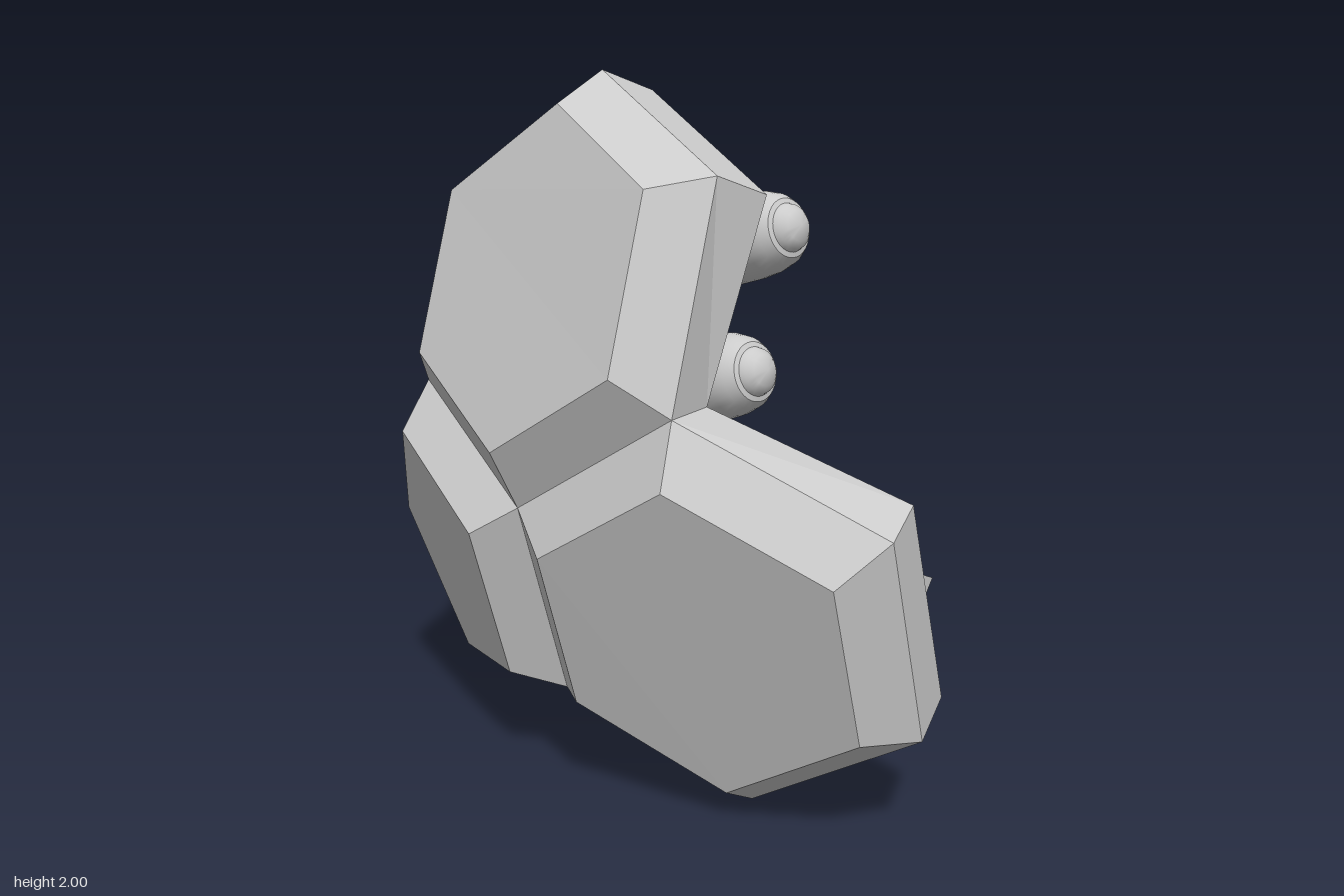
import * as THREE from 'three';
import { toCreasedNormals } from 'three/addons/utils/BufferGeometryUtils.js';

const V = (x, y, z) => new THREE.Vector3(x, y, z);
const grey = (opts = {}) => new THREE.MeshStandardMaterial({ color: 0xcccccc, ...opts });

// Corners of the three joined plates: [seam corner, matching corner on the hollow side]
const corners = {
  A: [V(-0.17, 0.005, 0.42), V(0, 0.06, 0.39)],
  B: [V(-0.17, 0.325, 0.94), V(0, 0.38, 0.905)],
  C: [V(-0.36, 0.905, 0.94), V(-0.2, 0.955, 0.905)],
  D: [V(-0.545, 1.165, 0.42), V(-0.37, 1.165, 0.4)],
  E: [V(-0.545, 0.85, -0.1), V(-0.37, 0.865, -0.07)],
  F: [V(-0.355, 0.27, -0.1), V(-0.17, 0.315, -0.07)],
  G: [V(-0.055, 0.165, -0.615), V(0.1, 0.215, -0.54)],
  J: [V(-0.36, 1.11, -0.62), V(-0.19, 1.1, -0.545)],
  K: [V(-0.055, 0.685, -0.935), V(0.1, 0.735, -0.855)],
  L: [V(-0.17, 1.685, -0.62), V(0, 1.66, -0.585)],
  N: [V(-0.17, 2.0, -0.1), V(0, 1.945, -0.06)],
  Q: [V(-0.36, 1.745, 0.42), V(-0.185, 1.69, 0.45)],
};
const plates = { frontPlate: 'ABCDEF', topPlate: 'LJEDQN', backPlate: 'FEJKG' };

function plateGeometry(loop, seams) {
  const pos = [];
  const face = (...p) => {
    for (let i = 1; i < p.length - 1; i++) for (const v of [p[0], p[i], p[i + 1]]) pos.push(v.x, v.y, v.z);
  };
  const names = [...loop], n = names.length;
  const mid = names.map((k) => corners[k][0]);
  const inner = names.map((k) => corners[k][1]);
  const centre = mid.reduce((s, v) => s.add(v), V(0, 0, 0)).divideScalar(n);
  const normal = V(0, 0, 0);
  mid.forEach((v, i) => normal.add(v.clone().sub(centre).cross(mid[(i + 1) % n].clone().sub(centre))));
  normal.normalize();
  // raised, shrunken outer face
  const outer = mid.map((v) => centre.clone().lerp(v, 0.78).addScaledVector(normal, 0.127));
  face(...outer);
  face(...[...inner].reverse());
  for (let i = 0; i < n; i++) {
    const j = (i + 1) % n;
    face(mid[i], mid[j], outer[j], outer[i]);
    // rim only where no other plate joins
    if (!seams.has(names[j] + names[i])) face(mid[j], mid[i], inner[i], inner[j]);
  }
  const g = new THREE.BufferGeometry();
  g.setAttribute('position', new THREE.Float32BufferAttribute(pos, 3));
  g.computeVertexNormals();
  return g;
}

function createShell() {
  const shell = new THREE.Group();
  shell.name = 'shell';
  const seams = new Set();
  for (const loop of Object.values(plates)) {
    [...loop].forEach((k, i) => seams.add(k + loop[(i + 1) % loop.length]));
  }
  for (const [name, loop] of Object.entries(plates)) {
    const m = new THREE.Mesh(plateGeometry(loop, seams), grey({ flatShading: true }));
    m.name = name;
    shell.add(m);
  }
  return shell;
}

// Bent arm standing out from the front plate
function createBracket() {
  const pts = [[-0.2, 0.375], [0.175, 0.53], [0.53, 0.38], [0.615, 0.47], [0.175, 0.655], [-0.2, 0.5]];
  const shape = new THREE.Shape(pts.map(([x, y]) => new THREE.Vector2(x, y)));
  const g = new THREE.ExtrudeGeometry(shape, { depth: 0.315, bevelEnabled: false });
  g.translate(0, 0, 0.24);
  const m = new THREE.Mesh(g, grey({ flatShading: true }));
  m.name = 'bracket';
  return m;
}

// Rocket with its nose at the origin, pointing up y; local x is the first fin
function createRocket(name) {
  const rocket = new THREE.Group();
  rocket.name = name;
  const add = (part, g, mat) => {
    const m = new THREE.Mesh(g, mat);
    m.name = part;
    rocket.add(m);
    return m;
  };
  // [radius, distance behind the nose], from the hollow tail forwards
  const profile = [
    [0, 0.86], [0.05, 0.87], [0.075, 0.91], [0.085, 0.99], [0.098, 0.99], [0.11, 0.965], [0.118, 0.92],
    [0.118, 0.34], [0.113, 0.335], [0.113, 0.325], [0.121, 0.32], [0.123, 0.24], [0.12, 0.17],
    [0.112, 0.11], [0.098, 0.065], [0.08, 0.04], [0.066, 0.036], [0.06, 0.02], [0.042, 0.004], [0, -0.008],
  ].map(([r, s]) => new THREE.Vector2(r, -s));
  add('rocketBody', toCreasedNormals(new THREE.LatheGeometry(profile, 32), 0.6), grey({ side: THREE.DoubleSide }));

  // pointed cone inside the tail
  const cone = new THREE.ConeGeometry(0.05, 0.19, 4);
  cone.rotateX(Math.PI);
  cone.translate(0, -0.955, 0);
  add('tailCone', cone, grey({ flatShading: true }));

  // four swept fins
  const outline = [[0.1, -0.44], [0.1, -0.89], [0.26, -0.87], [0.26, -0.74]];
  const finShape = new THREE.Shape(outline.map(([x, y]) => new THREE.Vector2(x, y)));
  const fin = new THREE.ExtrudeGeometry(finShape, { depth: 0.02, bevelEnabled: false });
  fin.translate(0, 0, -0.01);
  for (let i = 0; i < 4; i++) add('fin', fin, grey({ flatShading: true })).rotation.y = (i * Math.PI) / 2;

  // aim the nose forwards and slightly up
  const up = V(-0.15, 0.235, 0.95).normalize();
  const side = V(Math.cos(0.54), Math.sin(0.54), 0);
  side.addScaledVector(up, -side.dot(up)).normalize();
  rocket.setRotationFromMatrix(new THREE.Matrix4().makeBasis(side, up, side.clone().cross(up)));
  return rocket;
}

export function createModel() {
  const model = new THREE.Group();
  model.name = 'shellFragmentWithRockets';
  model.add(createShell(), createBracket());
  const upper = createRocket('upperRocket');
  upper.position.set(-0.022, 1.6, 0.448);
  const lower = createRocket('lowerRocket');
  lower.position.set(-0.16, 1.232, 0.44);
  model.add(upper, lower);
  return model;
}
